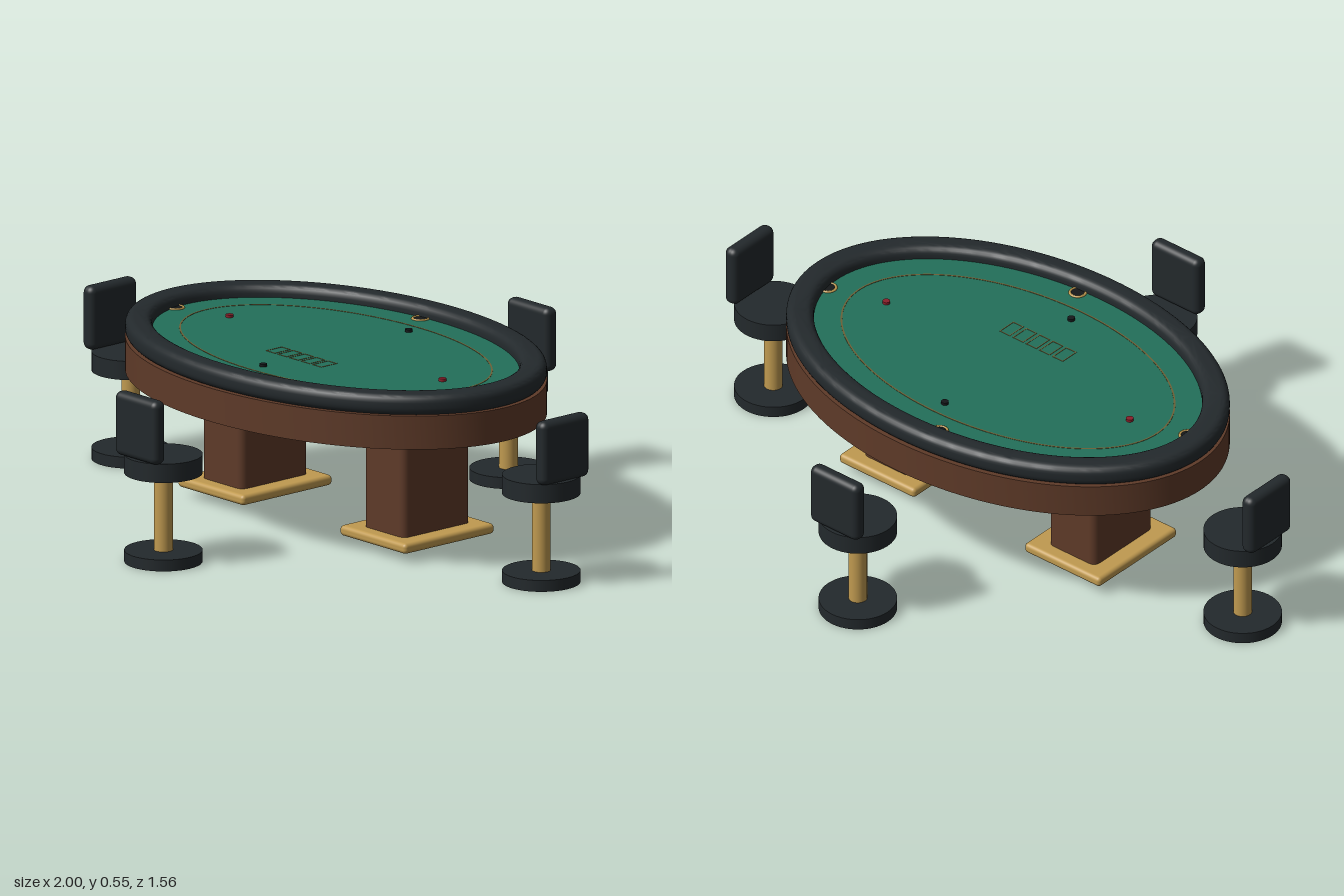
import * as THREE from 'three';
import { toCreasedNormals } from 'three/addons/utils/BufferGeometryUtils.js';
import { RoundedBoxGeometry } from 'three/addons/geometries/RoundedBoxGeometry.js';

const mat = (color) => new THREE.MeshStandardMaterial({ color });

export function createModel() {
  const root = new THREE.Group();
  const leather = mat(0x23292c), wood = mat(0x5e3a28), gold = mat(0xc09a50);
  const felt = mat(0x23705a), dark = mat(0x15181a), red = mat(0x8a1f2a);

  function add(parent, name, geometry, material, x = 0, y = 0, z = 0) {
    const mesh = new THREE.Mesh(geometry, material);
    mesh.name = name;
    mesh.position.set(x, y, z);
    parent.add(mesh);
    return mesh;
  }

  // Upright oval slab or ring rising from y = 0; the bevel stays inside the given radii
  function oval(rx, rz, height, bevel = 0, innerX = 0, innerZ = 0) {
    const shape = new THREE.Shape().absellipse(0, 0, rx - bevel, rz - bevel, 0, Math.PI * 2);
    if (innerX) {
      shape.holes.push(new THREE.Path().absellipse(0, 0, innerX + bevel, innerZ + bevel, 0, Math.PI * 2, true));
    }
    const geometry = new THREE.ExtrudeGeometry(shape, {
      depth: height - 2 * bevel, curveSegments: 96, bevelEnabled: bevel > 0,
      bevelSize: bevel, bevelThickness: bevel, bevelSegments: 5,
    });
    geometry.translate(0, 0, bevel).rotateX(-Math.PI / 2);
    return toCreasedNormals(geometry, 0.6);
  }

  // Table top
  const table = new THREE.Group();
  table.name = 'table';
  root.add(table);
  const feltY = 0.51;
  add(table, 'apron', oval(0.727, 0.49, 0.1), wood, 0, 0.385, 0);
  add(table, 'paddedRail', oval(0.727, 0.488, 0.063, 0.024, 0.645, 0.413), leather, 0, 0.483, 0);
  add(table, 'felt', oval(0.66, 0.43, 0.03), felt, 0, feltY - 0.03, 0);
  add(table, 'bettingLine', oval(0.566, 0.332, 0.002, 0, 0.561, 0.327), mat(0x6d6238), 0, feltY - 0.001, 0);

  // Five card outlines
  const card = new THREE.Shape();
  card.moveTo(-0.02, -0.031).lineTo(0.02, -0.031).lineTo(0.02, 0.031).lineTo(-0.02, 0.031).closePath();
  const opening = new THREE.Path();
  opening.moveTo(-0.017, -0.028).lineTo(-0.017, 0.028).lineTo(0.017, 0.028).lineTo(0.017, -0.028).closePath();
  card.holes.push(opening);
  const cardGeometry = new THREE.ExtrudeGeometry(card, { depth: 0.002, bevelEnabled: false });
  cardGeometry.rotateX(-Math.PI / 2);
  for (let i = -2; i <= 2; i++) {
    add(table, 'cardOutline', cardGeometry, mat(0x6d6238), i * 0.05, feltY - 0.001, 0.133);
  }

  // Chips and cup holders
  const chip = new THREE.CylinderGeometry(0.011, 0.011, 0.008, 24);
  for (const s of [-1, 1]) {
    add(table, 'redChip', chip, red, s * 0.46, feltY + 0.004, 0);
    add(table, 'darkChip', chip, dark, 0, feltY + 0.004, s * 0.28);
  }
  const cupRing = new THREE.TorusGeometry(0.023, 0.004, 8, 32).rotateX(Math.PI / 2);
  const cupWell = new THREE.CylinderGeometry(0.022, 0.022, 0.004, 32);
  for (const [x, z] of [[-0.08, -0.397], [0.075, 0.397], [0.637, -0.05], [-0.637, 0.05]]) {
    add(table, 'cupHolderRing', cupRing, gold, x, feltY + 0.001, z);
    add(table, 'cupHolderWell', cupWell, dark, x, feltY, z);
  }

  // Pedestals with floor plates; the leg foot pokes just below its plate
  for (const s of [-1, 1]) {
    add(table, 'pedestal', new RoundedBoxGeometry(0.178, 0.37, 0.26, 4, 0.022), wood, s * 0.35, 0.21, 0);
    add(table, 'pedestalPlate', new RoundedBoxGeometry(0.286, 0.031, 0.347, 4, 0.012), gold, s * 0.35, 0.044, 0);
  }

  // Stools, each built facing -z with its backrest on the outer side
  const disc = (height) => new THREE.CylinderGeometry(0.113, 0.113, height, 48);
  function stool(x, z, turn) {
    const group = new THREE.Group();
    group.name = 'stool';
    add(group, 'stoolBase', disc(0.034), leather, 0, 0.017, 0);
    add(group, 'stoolPost', new THREE.CylinderGeometry(0.027, 0.027, 0.24, 32), gold, 0, 0.15, 0);
    add(group, 'stoolSeat', disc(0.056), leather, 0, 0.292, 0);
    add(group, 'stoolBack', new RoundedBoxGeometry(0.182, 0.19, 0.046, 5, 0.02), leather, 0, 0.415, 0.09);
    group.position.set(x, 0, z);
    group.rotation.y = turn;
    root.add(group);
  }
  stool(0, 0.665, 0);
  stool(0, -0.665, Math.PI);
  stool(0.887, 0, Math.PI / 2);
  stool(-0.887, 0, -Math.PI / 2);

  return root;
}
